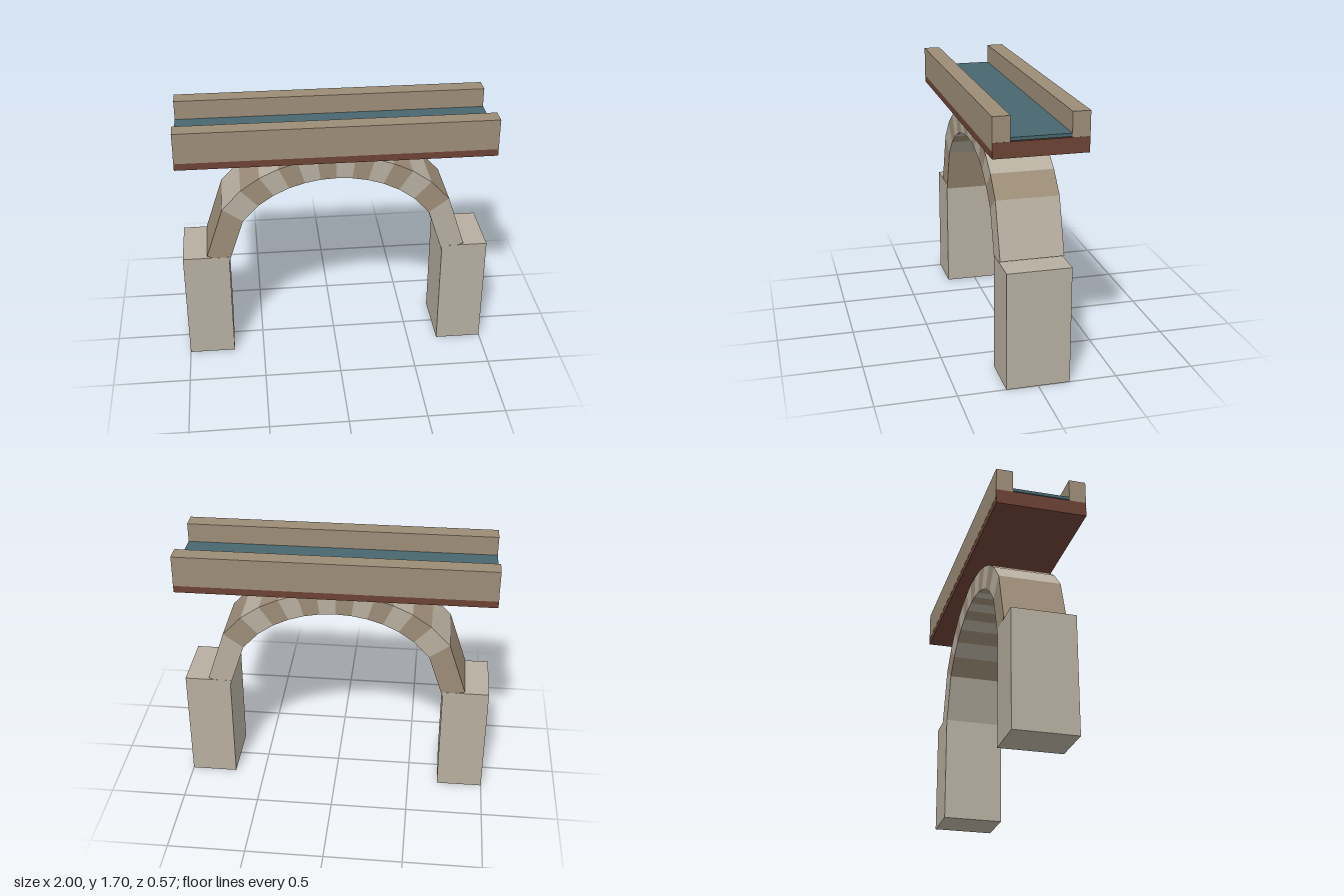
import * as THREE from 'three';

const material = (name, color) => {
  const m = new THREE.MeshStandardMaterial({ color });
  m.name = name;
  return m;
};

export function createModel() {
  const model = new THREE.Group();
  model.name = 'aqueductBridge';
  const stone = material('pale stone', 0xb6ae9f);
  const tan = material('tan stone', 0x9c8c77);
  const brick = material('red brick', 0x6c4234);
  const blue = material('water blue', 0x48676f);

  const add = (name, geometry, mat) => {
    const mesh = new THREE.Mesh(geometry, mat);
    mesh.name = name;
    model.add(mesh);
    return mesh;
  };
  // Box given by its size, bottom height and centre
  const box = (name, mat, w, h, d, x, bottom, z) =>
    add(name, new THREE.BoxGeometry(w, h, d), mat).position.set(x, bottom + h / 2, z);

  // Piers
  box('leftPier', stone, 0.3, 0.755, 0.4, 0.85, 0, 0);
  box('rightPier', stone, 0.3, 0.755, 0.4, -0.85, 0, 0);

  // Arch blocks: evenly spaced in x along two half ellipses, alternating colours
  const count = 14;
  const depth = 0.398;
  const rise = (t) => Math.sqrt(Math.max(0, 1 - t * t));
  const inner = (t) => new THREE.Vector2(0.7 * t, 0.721 + 0.581 * rise(t));
  const outer = (t) => Math.abs(t) > 0.999
    ? new THREE.Vector2(0.843 * Math.sign(t), 0.768)
    : new THREE.Vector2(0.85 * t, 0.753 + 0.699 * rise(t));
  for (let i = 0; i < count; i++) {
    const a = (2 * i) / count - 1;
    const b = (2 * (i + 1)) / count - 1;
    const face = new THREE.Shape([inner(a), inner(b), outer(b), outer(a)]);
    const block = new THREE.ExtrudeGeometry(face, { depth, bevelEnabled: false });
    block.translate(0, 0, -depth / 2);
    add(`archBlock${i + 1}`, block, i % 2 ? stone : tan);
  }

  // Channel: brick deck, side walls and water
  box('deck', brick, 2, 0.095, 0.572, 0, 1.455, 0);
  for (const side of [1, -1]) {
    box(side > 0 ? 'frontWall' : 'backWall', tan, 1.998, 0.2, 0.107, 0, 1.5, side * 0.2335);
  }
  box('water', blue, 2, 0.02, 0.358, 0, 1.555, 0);

  return model;
}
